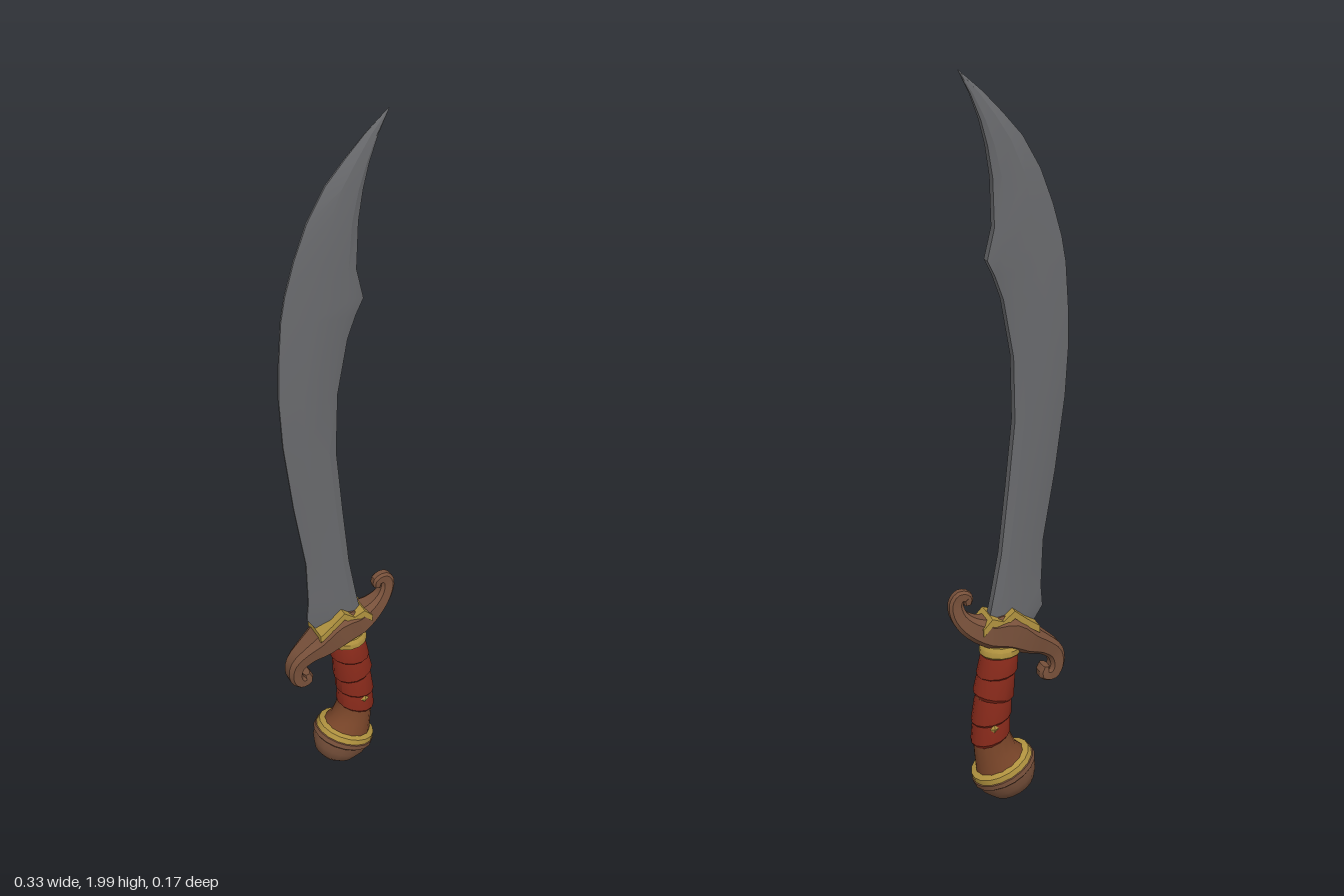
import * as THREE from 'three';
import { toCreasedNormals } from 'three/addons/utils/BufferGeometryUtils.js';

const mat = (name, color, extra = {}) => Object.assign(new THREE.MeshStandardMaterial({ color, ...extra }), { name });

// Skin a row of equal-length rings of [x, y, z] points and cap both ends
function loft(rings, crease = 0.6) {
  const n = rings[0].length, pos = rings.flat(2), idx = [];
  for (let r = 0; r < rings.length - 1; r++)
    for (let i = 0; i < n; i++) {
      const a = r * n + i, b = r * n + (i + 1) % n;
      idx.push(a, b, b + n, a, b + n, a + n);
    }
  const last = (rings.length - 1) * n;
  for (let i = 1; i < n - 1; i++) idx.push(0, i + 1, i, last, last + i, last + i + 1);
  // flip the faces if they point inwards
  const p = (i) => new THREE.Vector3().fromArray(pos, i * 3);
  let volume = 0;
  for (let i = 0; i < idx.length; i += 3) volume += p(idx[i]).dot(p(idx[i + 1]).cross(p(idx[i + 2])));
  if (volume < 0) idx.reverse();
  const g = new THREE.BufferGeometry();
  g.setAttribute('position', new THREE.Float32BufferAttribute(pos, 3));
  g.setIndex(idx);
  return toCreasedNormals(g, crease);
}

// Elliptical ring in the grip, tilted about z
function ring(x, y, rx, rz, tilt = 0, n = 14) {
  return Array.from({ length: n }, (_, i) => {
    const a = i / n * Math.PI * 2, u = rx * Math.cos(a);
    return [x + u * Math.cos(tilt), y + u * Math.sin(tilt), rz * Math.sin(a)];
  });
}

export function createModel() {
  const group = new THREE.Group();
  const steel = mat('steel', 0x68696c);
  const bronze = mat('bronze', 0x77503a);
  const gold = mat('gold', 0xb0923f);
  const red = mat('redLeather', 0x86291a);
  const leather = mat('brownLeather', 0x794529);
  const add = (name, geo, material, parent = group) => {
    const m = new THREE.Mesh(geo, material);
    m.name = name;
    parent.add(m);
    return m;
  };

  // Blade: stations of [edge x, edge y, spine x, spine y, thickness]
  const stations = [
    [-0.066, 0.53, 0.05, 0.53, 1], [-0.103, 0.59, 0.053, 0.585, 1],
    [-0.098, 0.65, 0.04, 0.65, 1], [-0.103, 0.785, 0.02, 0.76, 1],
    [-0.135, 0.98, 0, 0.945, 1], [-0.16, 1.18, -0.018, 1.13, 1],
    [-0.168, 1.32, -0.014, 1.3, 1], [-0.165, 1.42, 0.013, 1.45, 1],
    [-0.157, 1.53, 0.035, 1.51, 1], [-0.145, 1.595, 0.055, 1.55, 1],
    [-0.12, 1.68, 0.036, 1.63, 0.98], [-0.087, 1.765, 0.04, 1.75, 0.95],
    [-0.04, 1.845, 0.052, 1.825, 0.85], [0.01, 1.9, 0.068, 1.885, 0.7],
    [0.06, 1.95, 0.092, 1.945, 0.4], [0.12, 2, 0.121, 1.999, 0.05],
  ];
  const half = [[0, 0.003], [0.38, 0.02], [0.84, 0.021], [1, 0.013]];
  const section = [...half, ...half.map(([f, z]) => [f, -z]).reverse()];
  add('blade', loft(stations.map(([ex, ey, sx, sy, s]) =>
    section.map(([f, z]) => [ex + (sx - ex) * f, ey + (sy - ey) * f, z * s])), 0.35), steel);

  // Crossguard: S-curve of [x, y, half width, half depth] with curled ends
  const guard = [
    [-0.112, 0.405, 0.010, 0.020], [-0.108, 0.382, 0.017, 0.024], [-0.130, 0.380, 0.019, 0.026],
    [-0.145, 0.405, 0.020, 0.026], [-0.138, 0.445, 0.025, 0.027], [-0.105, 0.475, 0.029, 0.034],
    [-0.060, 0.500, 0.040, 0.045], [-0.005, 0.535, 0.053, 0.050], [0.050, 0.540, 0.043, 0.044],
    [0.100, 0.560, 0.031, 0.030], [0.135, 0.595, 0.023, 0.019], [0.145, 0.635, 0.020, 0.014],
    [0.133, 0.655, 0.018, 0.014], [0.114, 0.650, 0.016, 0.014], [0.112, 0.630, 0.010, 0.012],
  ];
  const path = new THREE.CatmullRomCurve3(guard.map(([x, y]) => new THREE.Vector3(x, y, 0)));
  const size = new THREE.CatmullRomCurve3(guard.map(([, , w, d]) => new THREE.Vector3(w, d, 0)));
  const bevelled = [[1, 0.55], [0.6, 1], [-0.6, 1], [-1, 0.55], [-1, -0.55], [-0.6, -1], [0.6, -1], [1, -0.55]];
  const guardRings = [];
  for (let i = 0; i <= 42; i++) {
    const c = path.getPoint(i / 42), t = path.getTangent(i / 42), s = size.getPoint(i / 42);
    guardRings.push(bevelled.map(([u, v]) => [c.x - t.y * u * s.x, c.y + t.x * u * s.x, v * s.y]));
  }
  add('crossguard', loft(guardRings, 0.5), bronze);

  // Gold zigzag trim where the blade leaves the guard
  const crest = [[-0.08, 0.55], [-0.045, 0.575], [-0.008, 0.606], [0.024, 0.58], [0.055, 0.592], [0.08, 0.565]];
  const trim = new THREE.Shape([...crest, ...crest.map(([x, y]) => [x, y - 0.022]).reverse()]
    .map(([x, y]) => new THREE.Vector2(x, y)));
  const trimGeo = new THREE.ExtrudeGeometry(trim, { depth: 0.084, bevelEnabled: false });
  trimGeo.translate(0, 0, -0.042);
  add('guardTrim', trimGeo, gold);

  // Gold collar between guard and grip
  add('gripCollar', loft([ring(0.02, 0.468, 0.052, 0.046), ring(0.02, 0.474, 0.058, 0.053),
    ring(0.018, 0.49, 0.058, 0.053), ring(0.018, 0.5, 0.05, 0.046)]), gold);

  // Grip core flaring into the pommel
  add('gripCore', loft([
    ring(0.02, 0.48, 0.048, 0.042), ring(0.034, 0.4, 0.048, 0.043), ring(0.045, 0.3, 0.05, 0.044),
    ring(0.047, 0.22, 0.052, 0.047, -0.1), ring(0.035, 0.165, 0.061, 0.053, -0.25),
    ring(0.012, 0.115, 0.082, 0.07, -0.42)], 0.9), leather);

  // Overlapping leather wraps: [x top, y top, x bottom, y bottom, tilt]
  [[0.022, 0.468, 0.03, 0.405, -0.12], [0.03, 0.415, 0.041, 0.335, 0.2],
    [0.04, 0.345, 0.047, 0.265, -0.22], [0.046, 0.285, 0.049, 0.205, -0.3]].forEach(([x0, y0, x1, y1, tilt], i) => {
    const mix = (f, r) => ring(x0 + (x1 - x0) * f, y0 + (y1 - y0) * f, r, r * 0.92, tilt * (0.4 + 0.6 * f));
    add('gripWrap' + (i + 1), loft([mix(0, 0.05), mix(0.12, 0.053), mix(0.85, 0.058), mix(1, 0.05)]), red);
  });

  // Small gold stud on each side of the grip
  for (const side of [1, -1]) {
    const stud = add('gripStud', new THREE.OctahedronGeometry(0.013), gold);
    stud.position.set(0.055, 0.262, side * 0.05);
    stud.scale.z = 0.45;
  }

  // Tilted pommel: rounded cap with a gold rim
  const pommel = new THREE.Group();
  pommel.name = 'pommel';
  pommel.position.set(0.01, 0.106, 0);
  pommel.rotation.z = -0.42;
  pommel.scale.z = 0.86;
  group.add(pommel);
  const lathe = (pts) => toCreasedNormals(new THREE.LatheGeometry(pts.map(([x, y]) => new THREE.Vector2(x, y)), 18), 0.6);
  add('pommelCap', lathe([[0, -0.096], [0.035, -0.091], [0.065, -0.07], [0.084, -0.038],
    [0.089, -0.012], [0.096, -0.006], [0.095, 0.008], [0.082, 0.016]]), bronze, pommel);
  add('pommelRim', lathe([[0.08, 0.006], [0.092, 0.01], [0.089, 0.026], [0.07, 0.032]]), gold, pommel);

  return group;
}
